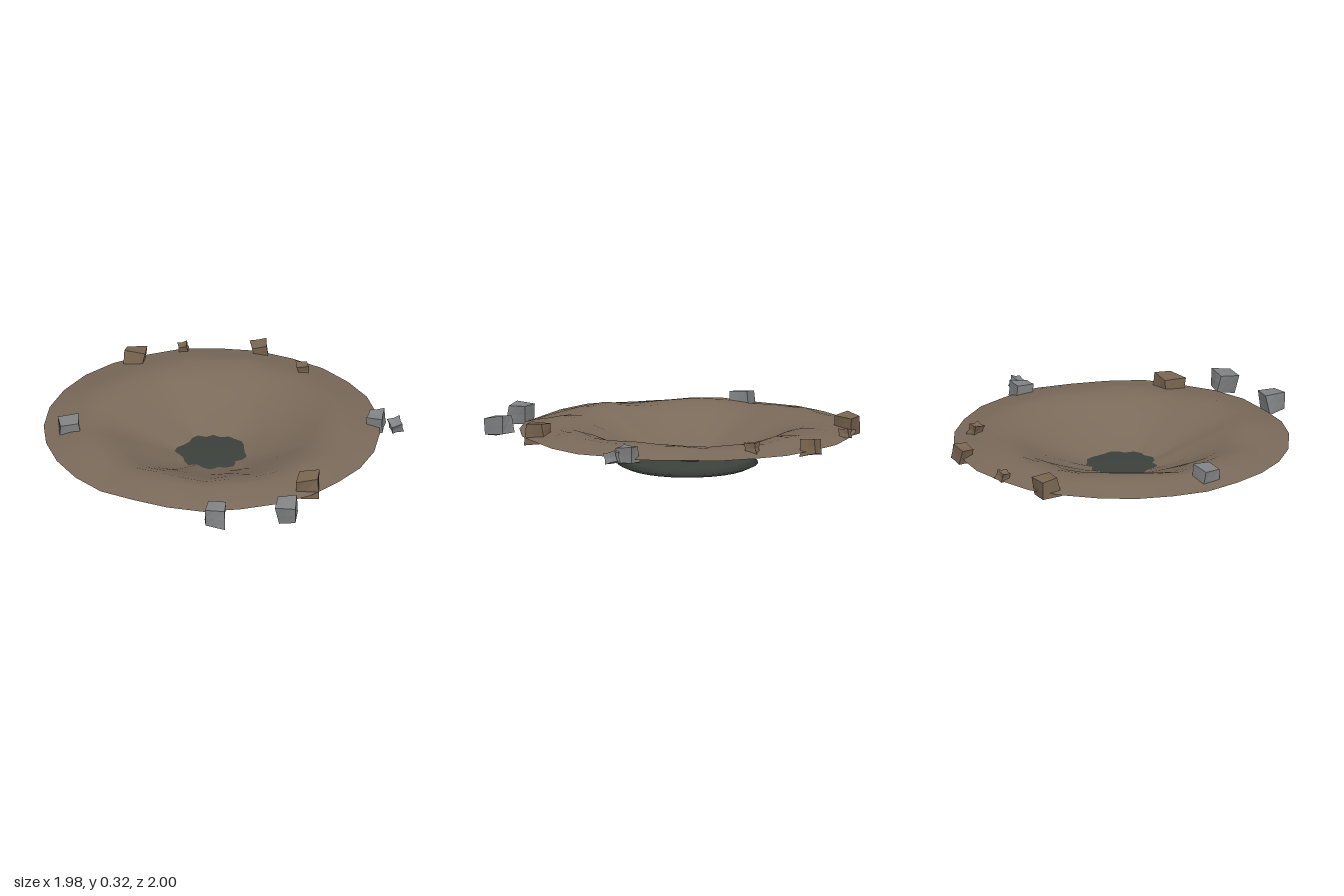
import * as THREE from 'three';

const CX = -0.06, CZ = -0.07; // crater centre

// repeatable noise in -1..1
function seeded(seed) {
  let s = seed;
  return () => {
    s = (s * 16807) % 2147483647;
    return (s / 2147483647) * 2 - 1;
  };
}

// Open crater sheet: rings of a profile, rippled by angle
function craterGeometry() {
  const profile = [
    [0.10, 0.062], [0.20, 0.092], [0.29, 0.122], [0.38, 0.158], [0.47, 0.196],
    [0.56, 0.234], [0.64, 0.260], [0.72, 0.264], [0.79, 0.254], [0.86, 0.240], [0.925, 0.227],
  ];
  const sides = 28, rnd = seeded(4217);
  const streak = Array.from({ length: sides }, rnd);
  const pos = [], index = [];
  profile.forEach(([r, y], i) => {
    const ramp = 0.004 + 0.010 * Math.min(1, r / 0.6);
    for (let j = 0; j < sides; j++) {
      const a = (j / sides) * Math.PI * 2;
      const dy = ramp * streak[j] * (r > 0.85 ? 0.5 : 1) + 0.004 * rnd();
      pos.push(r * Math.sin(a), y + dy, r * Math.cos(a));
      if (i > 0) {
        const k = (j + 1) % sides, p = (i - 1) * sides, q = i * sides;
        index.push(p + j, q + j, q + k, p + j, q + k, p + k);
      }
    }
  });
  const g = new THREE.BufferGeometry();
  g.setAttribute('position', new THREE.Float32BufferAttribute(pos, 3));
  g.setIndex(index);
  g.computeVertexNormals();
  return g;
}

// Faceted rock: a box with shifted corners; dent pulls the face centres in
function rockGeometry(size, seed, jitter, dent) {
  const g = new THREE.BoxGeometry(size, size, size, 2, 2, 2).toNonIndexed();
  const p = g.attributes.position, rnd = seeded(seed * 7919 + 13), corner = [];
  for (let i = 0; i < 8; i++) corner.push([rnd(), rnd(), rnd()]);
  const v = new THREE.Vector3();
  for (let i = 0; i < p.count; i++) {
    v.fromBufferAttribute(p, i);
    const t = v.toArray().map((c) => c / size + 0.5);
    const zeros = v.toArray().filter((c) => Math.abs(c) < 1e-6).length;
    if (zeros > 0) v.multiplyScalar(1 - dent * zeros);
    // blend the corner shifts so faces stay whole
    for (let c = 0; c < 8; c++) {
      const w = (c & 1 ? t[0] : 1 - t[0]) * (c & 2 ? t[1] : 1 - t[1]) * (c & 4 ? t[2] : 1 - t[2]);
      corner[c].forEach((d, k) => v.setComponent(k, v.getComponent(k) + w * d * jitter * size));
    }
    p.setXYZ(i, v.x, v.y, v.z);
  }
  g.computeVertexNormals();
  return g;
}

export function createModel() {
  const model = new THREE.Group();
  const earth = new THREE.MeshStandardMaterial({ color: 0x7a6a5a, side: THREE.DoubleSide });
  earth.name = 'earth brown';
  const floorMat = new THREE.MeshStandardMaterial({ color: 0x3c413c });
  floorMat.name = 'dark floor';
  const stone = new THREE.MeshStandardMaterial({ color: 0x828384 });
  stone.name = 'grey stone';
  const clod = new THREE.MeshStandardMaterial({ color: 0x7a6651 });
  clod.name = 'brown stone';

  function add(name, geometry, material, x, y, z) {
    const m = new THREE.Mesh(geometry, material);
    m.name = name;
    m.position.set(x, y, z);
    model.add(m);
    return m;
  }

  add('craterBowl', craterGeometry(), earth, CX, 0, CZ);

  // Flattened lens that closes the crater floor
  const lens = new THREE.SphereGeometry(0.388, 28, 6);
  lens.scale(1, 0.047 / 0.388, 1);
  add('craterFloor', lens, floorMat, CX, 0.047, CZ);

  // Rocks on and around the rim: x, y, z, size, turn, tilt, material, dent
  const rocks = [
    [-0.84, 0.250, 0.00, 0.105, 0.08, 0.12, stone, 0],
    [0.01, 0.245, 0.93, 0.105, 0.04, -0.10, stone, 0],
    [0.40, 0.245, 0.86, 0.105, -0.10, 0.12, stone, 0],
    [0.84, 0.245, -0.18, 0.095, -0.10, 0.08, stone, 0.05],
    [0.945, 0.243, -0.135, 0.065, 0.30, 0.25, stone, 0.12],
    [0.50, 0.245, 0.56, 0.115, 0.06, 0.06, clod, 0],
    [-0.52, 0.248, -0.82, 0.105, -0.12, -0.08, clod, 0],
    [0.16, 0.248, -0.95, 0.085, 0.08, 0.12, clod, 0.04],
    [-0.26, 0.248, -0.945, 0.06, 0.10, 0.20, clod, 0.12],
    [0.41, 0.258, -0.72, 0.065, 0.15, 0.10, clod, 0.14],
  ];
  rocks.forEach(([x, y, z, size, turn, tilt, mat, dent], i) => {
    const rock = add('rock' + (i + 1), rockGeometry(size, i + 3, 0.11, dent), mat, x, y, z);
    rock.rotation.set(tilt, turn, tilt * 0.7);
  });

  return model;
}
